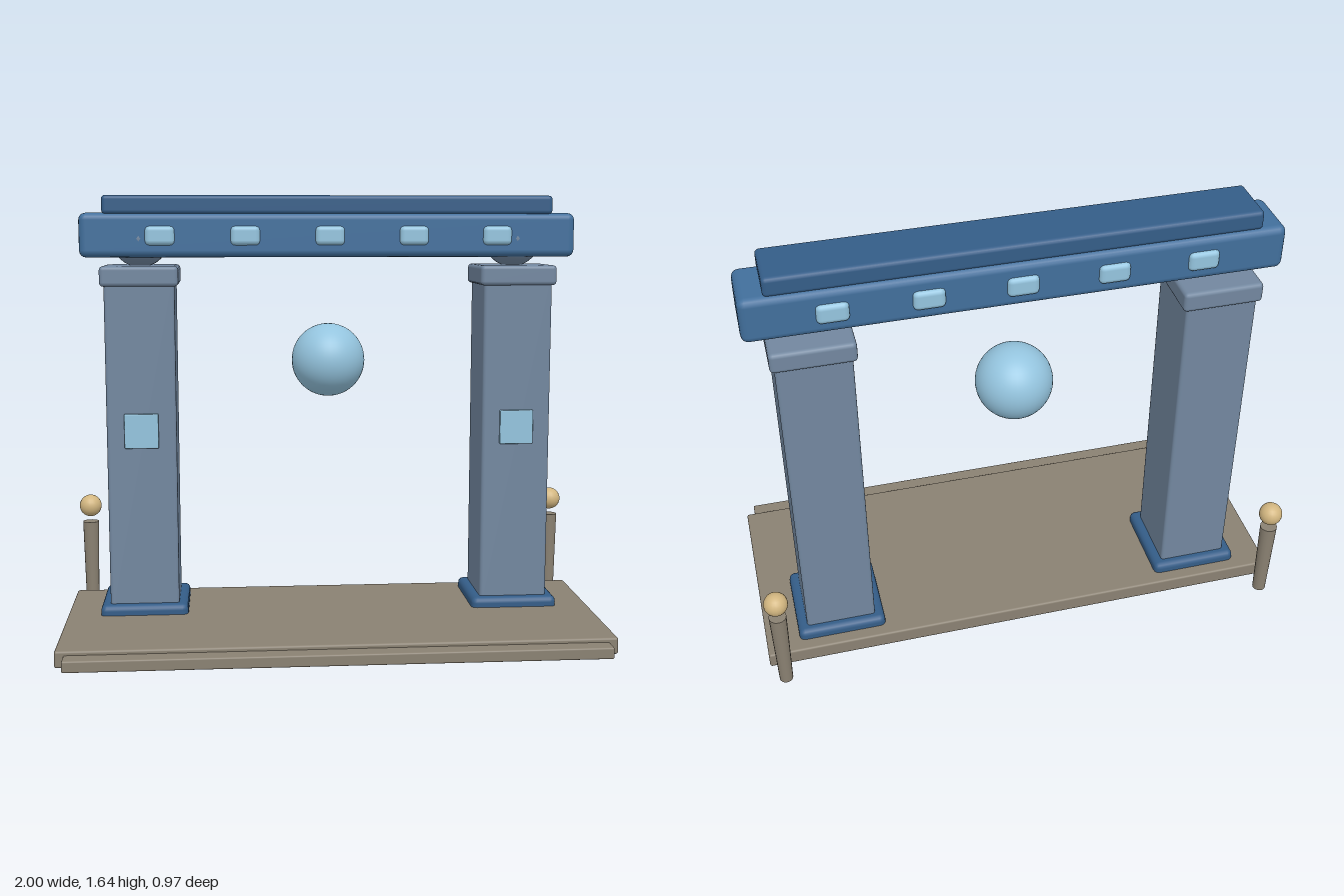
import * as THREE from 'three';
import { RoundedBoxGeometry } from 'three/addons/geometries/RoundedBoxGeometry.js';

const mat = (color) => new THREE.MeshStandardMaterial({ color });

export function createModel() {
  const group = new THREE.Group();
  const paving = mat(0x8a8172), stone = mat(0x72879f), blue = mat(0x416f9c);
  const darkBlue = mat(0x345d88), crystal = mat(0x94c4de), gold = mat(0xd2b680);
  const gateZ = -0.165;

  const add = (name, geometry, material, x, y, z) => {
    const mesh = new THREE.Mesh(geometry, material);
    mesh.name = name;
    mesh.position.set(x, y, z);
    group.add(mesh);
    return mesh;
  };
  // softened block spanning y0..y1
  const block = (name, material, w, d, y0, y1, x, z, r) =>
    add(name, new RoundedBoxGeometry(w, y1 - y0, d, 2, r), material, x, (y0 + y1) / 2, z);

  // floor slab and front step
  block('platform', paving, 2, 0.8, 0.004, 0.065, 0, 0.02, 0.008);
  block('frontStep', paving, 1.936, 0.16, 0.008, 0.05, 0, 0.405, 0.006);

  for (const [side, s] of [['left', 1], ['right', -1]]) {
    // pillar with plinth, capital, bearing and glowing panel
    const x = 0.71 * s;
    block(side + 'Plinth', darkBlue, 0.33, 0.335, 0.006, 0.103, x, gateZ, 0.022);
    block(side + 'Pillar', stone, 0.26, 0.268, 0.08, 1.32, x, gateZ, 0.012);
    block(side + 'Capital', stone, 0.29, 0.294, 1.305, 1.38, x, gateZ, 0.015);
    add(side + 'Bearing', new THREE.SphereGeometry(0.108, 24, 16), stone, x, 1.48, gateZ);
    block(side + 'Panel', crystal, 0.127, 0.03, 0.702, 0.832, x, -0.03, 0.004);

    // lantern post behind the platform corner
    add(side + 'Post', new THREE.CylinderGeometry(0.032, 0.025, 0.33, 16), paving, 0.948 * s, 0.17, -0.445);
    add(side + 'Lantern', new THREE.SphereGeometry(0.044, 20, 14), gold, 0.948 * s, 0.4, -0.445);
  }

  // lintel and its cover
  block('lintel', blue, 1.86, 0.22, 1.411, 1.575, 0, gateZ - 0.003, 0.026);
  block('lintelCover', darkBlue, 1.69, 0.2, 1.57, 1.64, 0, gateZ, 0.015);

  // crystals set through the lintel, showing on both faces
  for (let i = -2; i <= 2; i++) {
    block('lintelCrystal', crystal, 0.11, 0.25, 1.455, 1.527, i * 0.316, gateZ - 0.003, 0.018);
  }

  // floating orb
  add('orb', new THREE.SphereGeometry(0.14, 40, 28), crystal, 0, 1.017, gateZ);

  return group;
}
